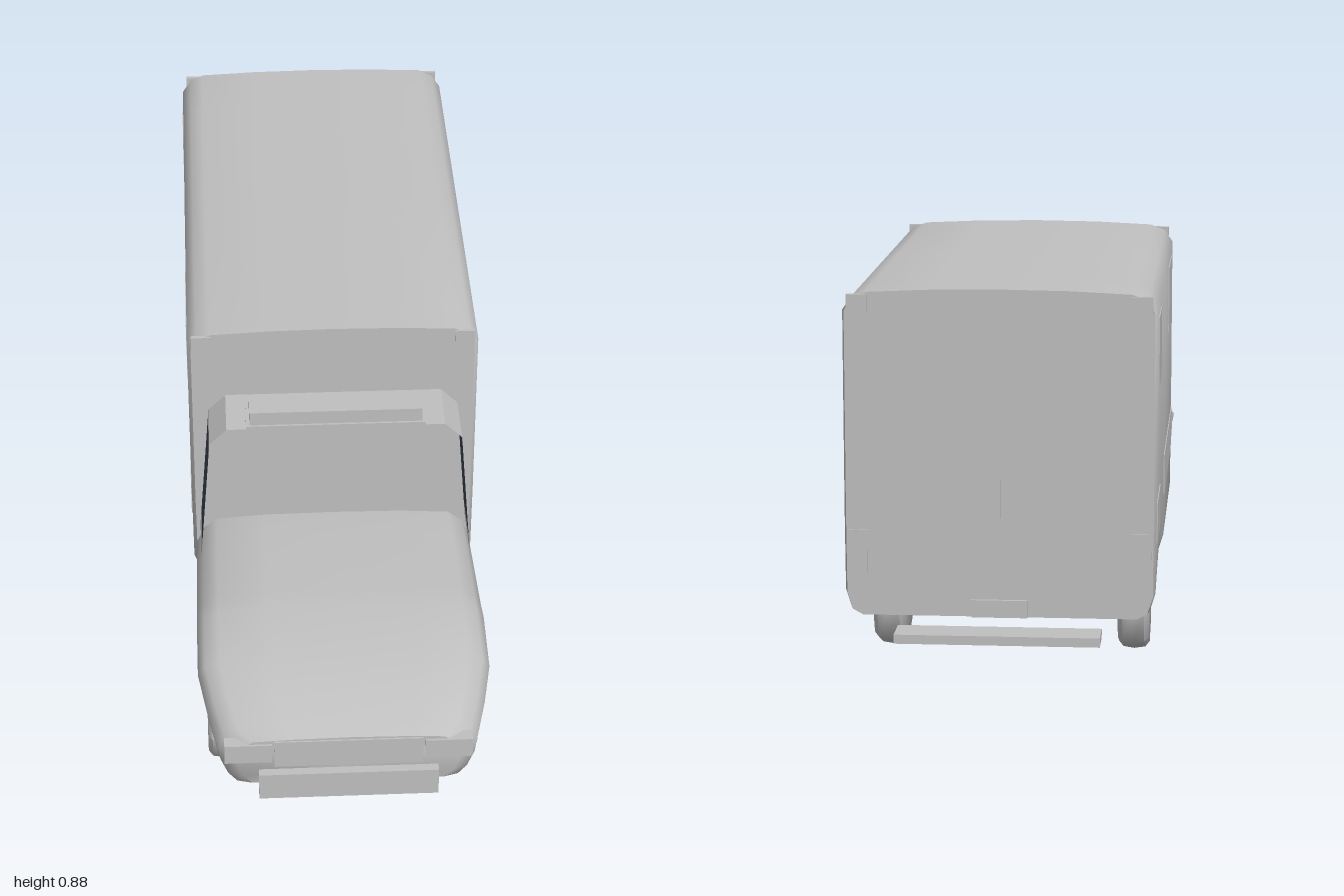
import * as THREE from 'three';
import { toCreasedNormals } from 'three/addons/utils/BufferGeometryUtils.js';

const paint = new THREE.MeshStandardMaterial({ color: 0xc0c0c0, side: THREE.DoubleSide });
paint.name = 'grey paint';
const glass = new THREE.MeshStandardMaterial({ color: 0x3c4651, side: THREE.DoubleSide });
glass.name = 'dark glass';

// Geometry from triangles given as points
function fromPoints(points) {
  const g = new THREE.BufferGeometry();
  g.setAttribute('position', new THREE.Float32BufferAttribute(points.flat(), 3));
  g.computeVertexNormals();
  return g;
}

// Capped, smooth body through mirrored half sections, listed front to back
function loft(stations, section, crease) {
  const rings = stations.map(([z, ...args]) => {
    const half = section(...args);
    const mirror = half.slice(1, -1).reverse().map(([x, y]) => [-x, y]);
    return half.concat(mirror).map(([x, y]) => [x, y, z]);
  });
  const tris = [];
  const n = rings[0].length;
  for (let i = 0; i < rings.length - 1; i++) {
    for (let j = 0; j < n; j++) {
      const k = (j + 1) % n;
      const a = rings[i][j], b = rings[i][k], c = rings[i + 1][j], d = rings[i + 1][k];
      tris.push(a, b, c, b, d, c);
    }
  }
  const cap = (ring, front) => {
    const centre = [0, (ring[0][1] + ring[n / 2][1]) / 2, ring[0][2]];
    for (let j = 0; j < n; j++) {
      const a = ring[j], b = ring[(j + 1) % n];
      tris.push(centre, ...(front ? [b, a] : [a, b]));
    }
  };
  cap(rings[0], true);
  cap(rings[rings.length - 1], false);
  return toCreasedNormals(fromPoints(tris), crease);
}

// Open sheet: an x-y path swept between two z values
function sheet(path, z0, z1) {
  const tris = [];
  for (let i = 0; i < path.length - 1; i++) {
    const [p, q] = [path[i], path[i + 1]];
    const a = [...p, z0], b = [...q, z0], c = [...p, z1], d = [...q, z1];
    tris.push(a, b, c, b, d, c);
  }
  return fromPoints(tris);
}

export function createModel() {
  const model = new THREE.Group();
  model.name = 'boxTruck';

  const add = (name, geometry, material = paint) => {
    const mesh = new THREE.Mesh(geometry, material);
    mesh.name = name;
    model.add(mesh);
    return mesh;
  };
  // Box given by its limits
  const box = (name, x0, x1, y0, y1, z0, z1) => {
    const mesh = add(name, new THREE.BoxGeometry(x1 - x0, y1 - y0, z1 - z0));
    mesh.position.set((x0 + x1) / 2, (y0 + y1) / 2, (z0 + z1) / 2);
  };
  const pair = (name, x0, x1, ...rest) => {
    box(name + 'Left', x0, x1, ...rest);
    box(name + 'Right', -x1, -x0, ...rest);
  };

  // Cargo box: arched roof, rounded shoulders, raised over the rear axle
  const cargoSection = (b, s) => [
    [0, 0.883], [0.15 * s, 0.881], [0.285 * s, 0.875], [0.315 * s, 0.864], [0.335 * s, 0.835],
    [0.335 * s, 0.4], [0.334 * s, b + 0.05], [0.322 * s, b + 0.012], [0.3 * s, b], [0, b],
  ];
  add('cargoBox', loft([
    [0.26, 0.175, 0.975], [0.245, 0.17, 1], [-0.33, 0.17, 1], [-0.5, 0.205, 1],
    [-0.62, 0.24, 1], [-0.75, 0.215, 1], [-0.905, 0.175, 1], [-0.92, 0.172, 0.985],
  ], cargoSection, 0.8));

  // Bonnet with wheel arches, running back under the cargo box
  const hoodSection = (t, b, w) => {
    const h = t - b;
    return [
      [0, t], [0.5 * w, t - 0.002], [0.85 * w, t - 0.05 * h], [0.95 * w, t - 0.18 * h],
      [w, t - 0.38 * h], [0.985 * w, t - 0.6 * h], [0.93 * w, t - 0.85 * h], [0.86 * w, b], [0, b],
    ];
  };
  add('bonnet', loft([
    [0.98, 0.288, 0.16, 0.25], [0.945, 0.3, 0.135, 0.288], [0.86, 0.325, 0.178, 0.312],
    [0.77, 0.342, 0.222, 0.33], [0.62, 0.36, 0.242, 0.33], [0.56, 0.36, 0.195, 0.33],
    [0.35, 0.355, 0.14, 0.328], [0.26, 0.35, 0.15, 0.325], [0.15, 0.34, 0.165, 0.32],
  ], hoodSection, 0.9));

  // Cab: open-fronted roof, side glass and sills
  const cabX = (y) => 0.315 - (y - 0.35) * 0.08;
  const roof = [[cabX(0.645), 0.645], [0.29, 0.665], [0.25, 0.705]];
  add('cabRoof', sheet([...roof, ...roof.map(([x, y]) => [-x, y]).reverse()], 0.25, 0.395));
  for (const [side, s] of [['Left', 1], ['Right', -1]]) {
    const strip = (y0, y1) => sheet([[s * cabX(y0), y0], [s * cabX(y1), y1]], 0.25, 0.395);
    add('doorSill' + side, strip(0.33, 0.375));
    add('sideWindow' + side, strip(0.375, 0.645), glass);
  }
  box('lightBarBase', -0.205, 0.205, 0.704, 0.716, 0.325, 0.4);
  box('lightBar', -0.197, 0.197, 0.716, 0.75, 0.325, 0.395);

  // Nose details and bumpers
  pair('headlight', 0.17, 0.275, 0.225, 0.275, 0.955, 0.985);
  box('grille', -0.165, 0.165, 0.21, 0.282, 0.97, 0.984);
  box('frontBumper', -0.2, 0.2, 0.13, 0.2, 0.905, 1);
  box('rearStep', -0.22, 0.22, 0.13, 0.15, -1, -0.92);
  box('rearPlate', -0.06, 0.06, 0.172, 0.21, -0.928, -0.918);

  // Cargo box lamps, rear doors and thin side panels
  pair('frontMarker', 0.28, 0.325, 0.833, 0.87, 0.255, 0.264);
  pair('rearMarker', 0.28, 0.325, 0.833, 0.87, -0.924, -0.915);
  pair('tailLight', 0.285, 0.326, 0.24, 0.36, -0.924, -0.915);
  box('rearDoorSeam', -0.002, 0.002, 0.21, 0.865, -0.922, -0.918);
  pair('frontSidePanel', 0.332, 0.337, 0.66, 0.815, -0.09, 0.13);
  pair('rearSidePanel', 0.332, 0.337, 0.66, 0.815, -0.84, -0.68);
  pair('lowerFrontPanel', 0.332, 0.337, 0.33, 0.42, -0.38, 0.22);
  pair('lowerRearPanel', 0.332, 0.337, 0.33, 0.42, -0.88, -0.69);

  // Eight-sided wheels with softened rims, on cross axles
  const tyre = [[0, -0.035], [0.1, -0.035], [0.113, -0.025], [0.117, 0],
    [0.113, 0.025], [0.1, 0.035], [0, 0.035]].map(([r, y]) => new THREE.Vector2(r, y));
  const wheelGeometry = toCreasedNormals(new THREE.LatheGeometry(tyre, 8).rotateZ(Math.PI / 2), 0.85);
  for (const [name, z] of [['front', 0.68], ['rear', -0.535]]) {
    for (const [side, s] of [['Left', 1], ['Right', -1]]) {
      add(name + 'Wheel' + side, wheelGeometry).position.set(s * 0.276, 0.119, z);
    }
  }
  return model;
}
